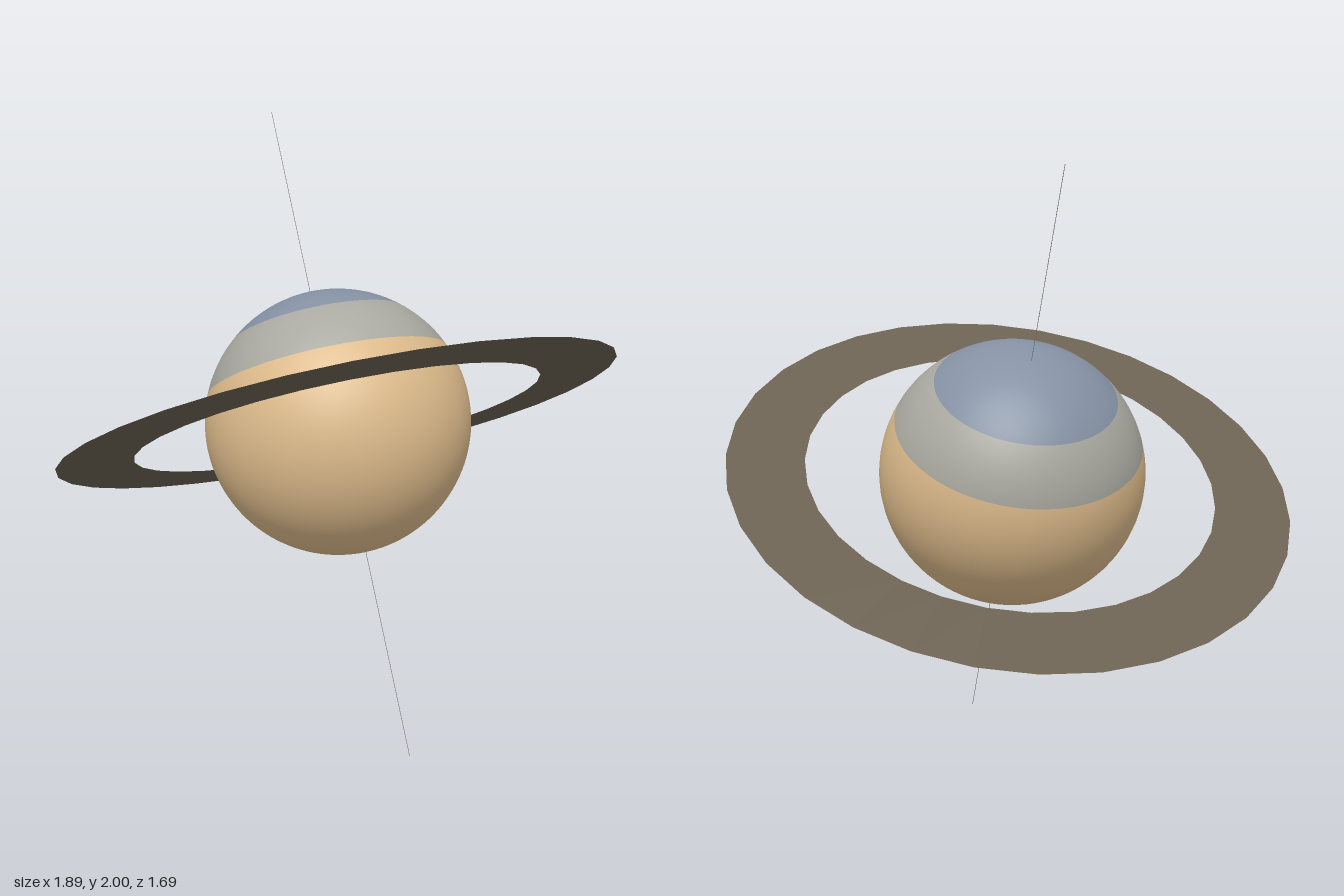
import * as THREE from 'three';

const RADIUS = 0.445;
const ROWS = 64;

export function createModel() {
  const mat = (name, color, side = THREE.FrontSide) => {
    const m = new THREE.MeshStandardMaterial({ color, side });
    m.name = name;
    return m;
  };
  const model = new THREE.Group();
  model.name = 'ringedPlanet';

  // Everything shares one tilted frame: the pole leans toward the back
  const tilted = new THREE.Group();
  tilted.name = 'tiltedPlanet';
  tilted.position.y = 1;
  tilted.rotation.x = -Math.atan(0.5);
  model.add(tilted);

  const add = (name, geometry, material) => {
    const mesh = new THREE.Mesh(geometry, material);
    mesh.name = name;
    tilted.add(mesh);
  };

  // Globe, split by latitude rows into coloured bands
  const bands = [
    ['polarCap', 0, 15, mat('slate blue', 0x8491a3)],
    ['northernBand', 15, 24, mat('warm grey', 0xa9a9a1)],
    ['globeBody', 24, ROWS, mat('sandy gold', 0xddbb8b)],
  ];
  for (const [name, from, to, material] of bands) {
    const step = Math.PI / ROWS;
    add(name, new THREE.SphereGeometry(RADIUS, 64, to - from, 0, Math.PI * 2, from * step, (to - from) * step), material);
  }

  // Flat ring around the equator
  add('ring', new THREE.RingGeometry(0.69, 0.945, 32).rotateX(-Math.PI / 2),
    mat('dusty brown', 0x6b6152, THREE.DoubleSide));

  // Hair-thin rotation axis through both poles
  add('axis', new THREE.CylinderGeometry(0.001, 0.001, Math.sqrt(5), 8), mat('axis grey', 0x85827a));

  return model;
}
